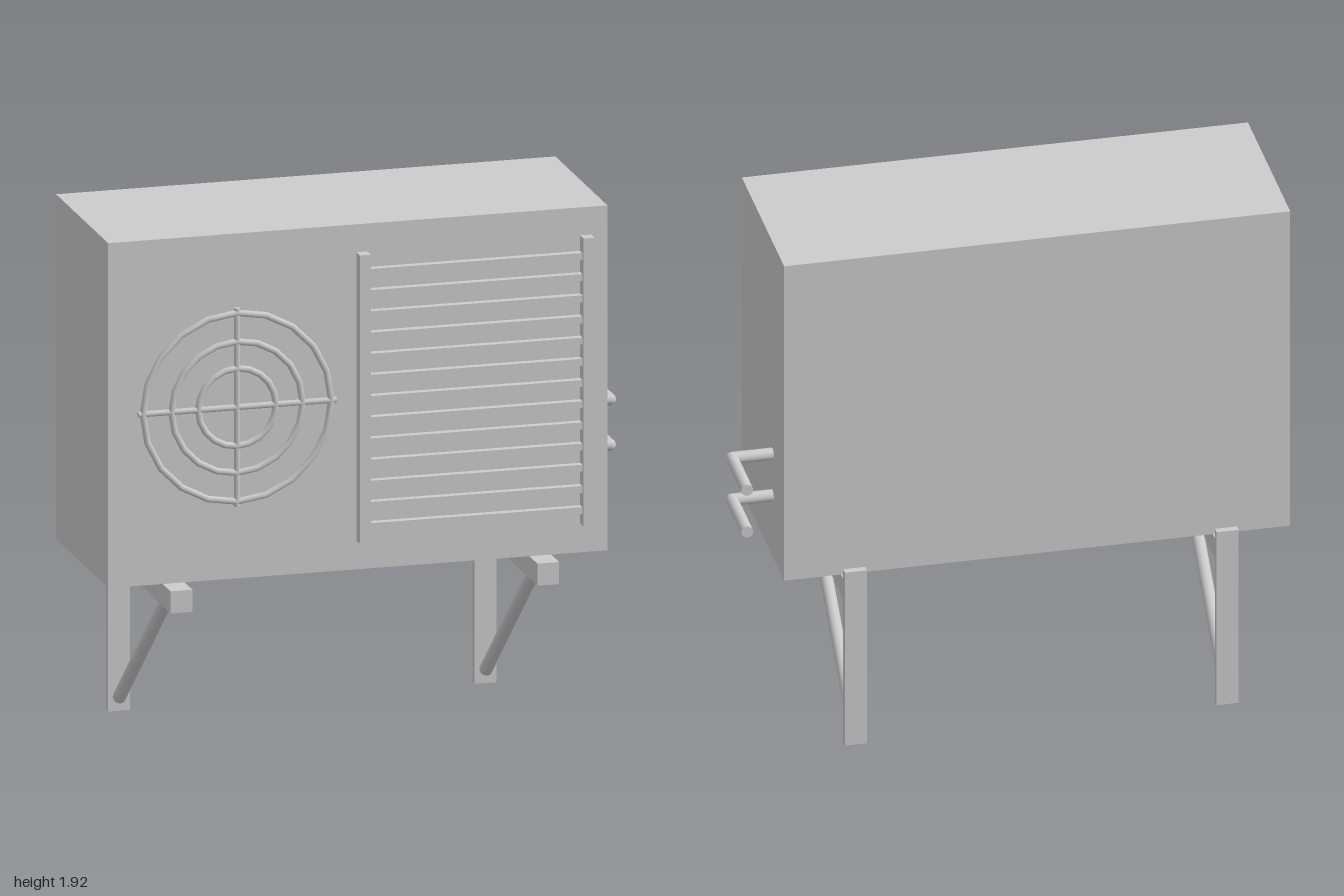
import * as THREE from 'three';

const grey = new THREE.MeshStandardMaterial({ color: 0xcccccc });

function add(parent, name, geometry, x = 0, y = 0, z = 0) {
  const mesh = new THREE.Mesh(geometry, grey);
  mesh.name = name;
  mesh.position.set(x, y, z);
  parent.add(mesh);
  return mesh;
}

// Box given by its extents along each axis
function block(parent, name, [x0, x1], [y0, y1], [z0, z1]) {
  return add(parent, name, new THREE.BoxGeometry(x1 - x0, y1 - y0, z1 - z0),
    (x0 + x1) / 2, (y0 + y1) / 2, (z0 + z1) / 2);
}

// Round bar between two points
function rod(parent, name, from, to, radius, sides = 12) {
  const a = new THREE.Vector3(...from);
  const dir = new THREE.Vector3(...to).sub(a);
  const mesh = add(parent, name, new THREE.CylinderGeometry(radius, radius, dir.length(), sides));
  mesh.position.copy(a).addScaledVector(dir, 0.5);
  mesh.quaternion.setFromUnitVectors(new THREE.Vector3(0, 1, 0), dir.normalize());
  return mesh;
}

function group(parent, name) {
  const g = new THREE.Group();
  g.name = name;
  parent.add(g);
  return g;
}

export function createModel() {
  const model = new THREE.Group();
  model.name = 'outdoorAirConditioner';

  // Casing
  block(model, 'casing', [-1, 0.83], [0.655, 1.917], [-0.357, 0.315]);

  // Fan guard: three rings and a cross
  const guard = group(model, 'fanGuard');
  guard.position.set(-0.535, 1.289, 0.341);
  for (const radius of [0.345, 0.24, 0.142]) {
    add(guard, 'guardRing', new THREE.TorusGeometry(radius, 0.012, 8, 20));
  }
  rod(guard, 'guardBarHorizontal', [-0.363, 0, 0], [0.363, 0, 0], 0.011, 8);
  rod(guard, 'guardBarVertical', [0, -0.363, 0], [0, 0.363, 0], 0.011, 8);

  // Louvre panel: two posts and a stack of slats
  const louvre = group(model, 'louvre');
  for (const x of [-0.07, 0.75]) {
    block(louvre, 'louvrePost', [x - 0.02, x + 0.02], [0.76, 1.815], [0.31, 0.36]);
  }
  for (let i = 0; i < 13; i++) {
    const y = 0.8155 + i * 0.0775;
    block(louvre, 'louvreSlat', [-0.055, 0.735], [y - 0.0125, y + 0.0125], [0.305, 0.344]);
  }

  // Refrigerant pipes, bent towards the wall
  for (const y of [0.9, 1.067]) {
    const pipe = group(model, 'pipe');
    rod(pipe, 'pipeOutlet', [0.8, y, -0.172], [0.977, y, -0.172], 0.022);
    add(pipe, 'pipeElbow', new THREE.SphereGeometry(0.022, 12, 8), 0.977, y, -0.172);
    rod(pipe, 'pipeToWall', [0.977, y, -0.172], [0.977, y, -0.417], 0.022);
  }

  // Wall brackets: arm, wall plate and diagonal brace
  for (const x of [-0.76, 0.584]) {
    const bracket = group(model, 'wallBracket');
    bracket.position.x = x;
    block(bracket, 'bracketArm', [-0.04, 0.04], [0.574, 0.655], [-0.392, 0.417]);
    block(bracket, 'wallPlate', [-0.04, 0.04], [0, 0.694], [-0.417, -0.391]);
    rod(bracket, 'brace', [0, 0.588, 0.252], [0, 0.05, -0.388], 0.024);
  }

  return model;
}
